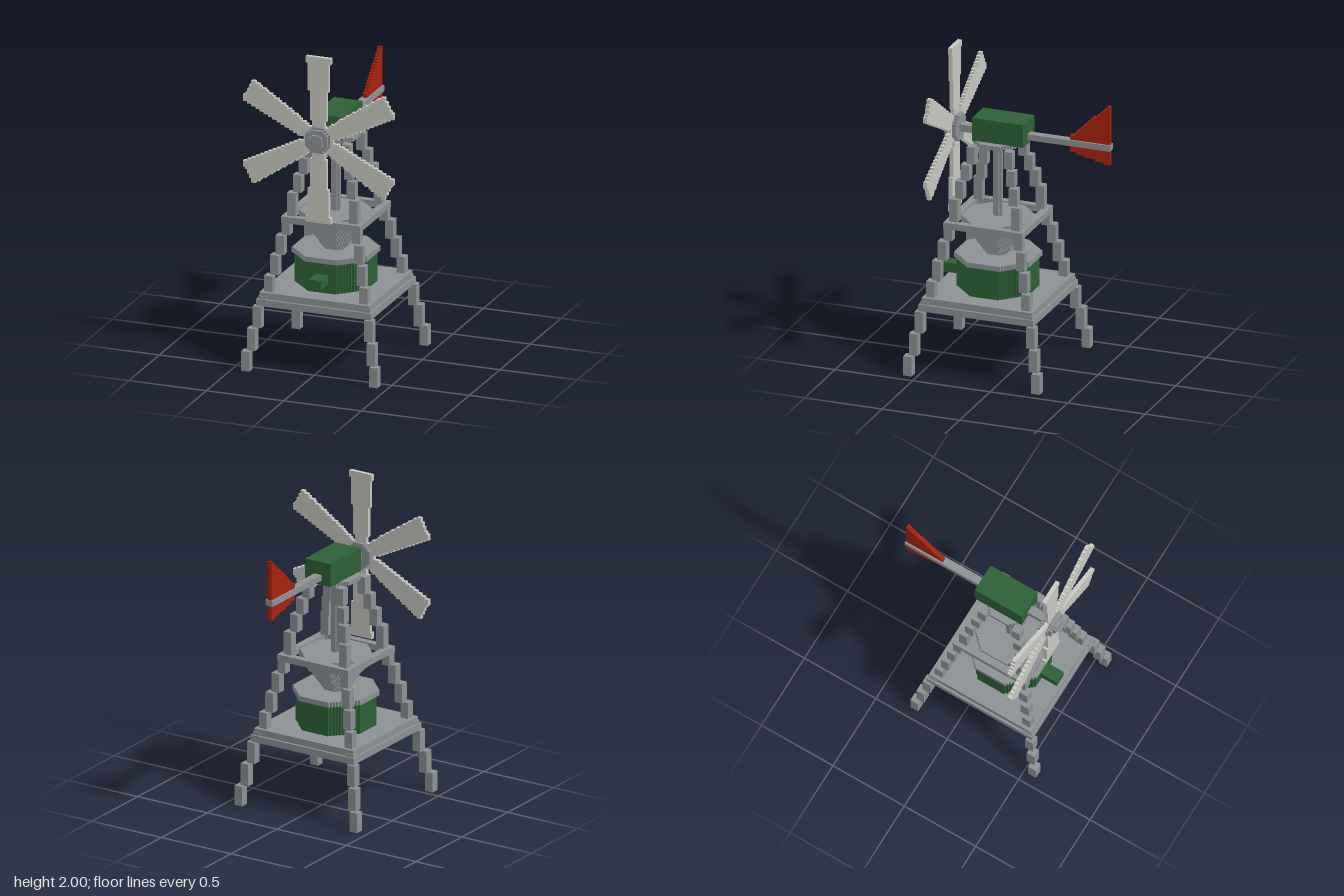
import * as THREE from 'three';

const STEP = 0.0135; // block size of the stepped outlines
const CZ = 0.145;    // tower axis

const material = (name, color) => {
  const m = new THREE.MeshStandardMaterial({ color });
  m.name = name;
  return m;
};

// Stair-stepped outline of a convex polygon, column by column
function steppedShape(poly) {
  const snap = v => Math.round(v / STEP) * STEP;
  const xs = poly.map(p => p[0]);
  const top = [], bottom = [];
  const first = Math.round(Math.min(...xs) / STEP), last = Math.round(Math.max(...xs) / STEP);
  for (let i = first; i < last; i++) {
    const mid = (i + 0.5) * STEP, hits = [];
    poly.forEach(([ax, ay], k) => {
      const [bx, by] = poly[(k + 1) % poly.length];
      if ((ax <= mid) !== (bx <= mid)) hits.push(ay + (by - ay) * (mid - ax) / (bx - ax));
    });
    if (hits.length < 2) continue;
    const lo = snap(Math.min(...hits)), hi = snap(Math.max(...hits));
    if (hi - lo < STEP / 2) continue;
    for (const [list, y] of [[top, hi], [bottom, lo]]) {
      const prev = list[list.length - 1];
      if (prev && Math.abs(prev.y - y) < 1e-6) prev.x = (i + 1) * STEP;
      else list.push(new THREE.Vector2(i * STEP, y), new THREE.Vector2((i + 1) * STEP, y));
    }
  }
  return new THREE.Shape([...bottom, ...top.reverse()]);
}

const extrude = (poly, depth) =>
  new THREE.ExtrudeGeometry(steppedShape(poly), { depth, bevelEnabled: false });

// Octagon with flats on the axes
const octagon = apothem => Array.from({ length: 8 }, (_, i) => {
  const a = (i + 0.5) * Math.PI / 4, r = apothem / Math.cos(Math.PI / 8);
  return [r * Math.cos(a), r * Math.sin(a)];
});

export function createModel() {
  const grey = material('steel grey', 0x8c9295);
  const green = material('machine green', 0x2d6136);
  const red = material('vane red', 0xa8220e);
  const pale = material('blade off-white', 0xc9c9c3);

  const model = new THREE.Group();
  model.name = 'windPump';
  const tower = new THREE.Group();
  tower.name = 'tower';
  tower.position.z = CZ;
  model.add(tower);

  const add = (parent, name, geometry, mat) => {
    const mesh = new THREE.Mesh(geometry, mat);
    mesh.name = name;
    parent.add(mesh);
    return mesh;
  };
  // Box from its limits
  const box = (parent, name, mat, x0, x1, y0, y1, z0, z1) => {
    const mesh = add(parent, name, new THREE.BoxGeometry(x1 - x0, y1 - y0, z1 - z0), mat);
    mesh.position.set((x0 + x1) / 2, (y0 + y1) / 2, (z0 + z1) / 2);
    return mesh;
  };
  // Upright stepped octagonal slab
  const slab = (name, mat, apothem, y0, y1) => {
    const mesh = add(tower, name, extrude(octagon(apothem), y1 - y0).rotateX(-Math.PI / 2), mat);
    mesh.position.y = y0;
  };
  // Square ring of four bars
  const frame = (name, half, width, y0, y1) => {
    const inner = half - width;
    for (const s of [-1, 1]) {
      const a = s < 0 ? -half : inner, b = s < 0 ? -inner : half;
      box(tower, name, grey, -half, half, y0, y1, a, b);
      box(tower, name, grey, a, b, y0, y1, -inner, inner);
    }
  };

  // Four legs stepping inward as they rise
  const breaks = [0, 0.125, 0.265, 0.4, 0.46, 0.585, 0.71, 0.83, 0.945, 1.09, 1.2, 1.3, 1.41];
  for (const sx of [-1, 1]) for (const sz of [-1, 1]) {
    const leg = new THREE.Group();
    leg.name = (sz > 0 ? 'front' : 'back') + (sx > 0 ? 'Left' : 'Right') + 'Leg';
    tower.add(leg);
    for (let i = 0; i < breaks.length - 1; i++) {
      const c = 0.4125 - i * 0.0266, h = 0.027;
      box(leg, 'legBlock', grey, sx * c - h, sx * c + h, breaks[i], breaks[i + 1], sz * c - h, sz * c + h);
    }
  }

  // Platform, frames and central pole
  frame('platformFrame', 0.37, 0.045, 0.4, 0.442);
  box(tower, 'platform', grey, -0.355, 0.355, 0.442, 0.483, -0.355, 0.355);
  frame('upperFrame', 0.255, 0.045, 0.905, 0.945);
  slab('pole', grey, 0.027, 0.94, 1.41);
  slab('towerCap', grey, 0.135, 1.405, 1.432);

  // Tank with lid, funnel and outlet
  slab('tank', green, 0.228, 0.483, 0.673);
  slab('tankLid', grey, 0.243, 0.673, 0.705);
  const layers = 14, y0 = 0.705, y1 = 0.905;
  for (let i = 0; i < layers; i++) {
    const h = (y1 - y0) / layers;
    slab('funnelLayer', grey, 0.068 + 0.135 * i / (layers - 1), y0 + i * h, y0 + (i + 1) * h);
  }
  slab('funnelRim', grey, 0.203, 0.905, 0.94);
  box(model, 'outlet', green, -0.04, 0.04, 0.54, 0.6, 0.36, 0.49);

  // Head and tail
  box(model, 'head', green, -0.092, 0.092, 1.43, 1.577, -0.053, 0.277);
  box(model, 'tailBoom', grey, -0.025, 0.025, 1.457, 1.495, -0.585, -0.053);
  const vaneOutline = [[0.32, 1.42], [0.32, 1.51], [0.585, 1.75], [0.585, 1.36]];
  add(model, 'tailVane', extrude(vaneOutline, 0.027).translate(0, 0, -0.0135).rotateY(Math.PI / 2), red);

  // Rotor with stepped hub and six flared blades
  const rotor = new THREE.Group();
  rotor.name = 'rotor';
  rotor.position.y = 1.473;
  model.add(rotor);
  box(rotor, 'shaft', grey, -0.025, 0.025, -0.022, 0.022, 0.277, 0.4);
  for (const [apothem, z0, z1] of [[0.08, 0.385, 0.445], [0.067, 0.445, 0.465], [0.042, 0.465, 0.482]])
    add(rotor, 'hub', extrude(octagon(apothem), z1 - z0), grey).position.z = z0;
  for (let i = 0; i < 6; i++) {
    const a = Math.PI / 2 + i * Math.PI / 3, c = Math.cos(a), s = Math.sin(a);
    const outline = [[0.03, -0.04], [0.528, -0.077], [0.528, 0.077], [0.03, 0.04]]
      .map(([r, w]) => [r * c - w * s, r * s + w * c]);
    add(rotor, 'blade', extrude(outline, 0.026), pale).position.z = 0.411;
  }
  return model;
}
